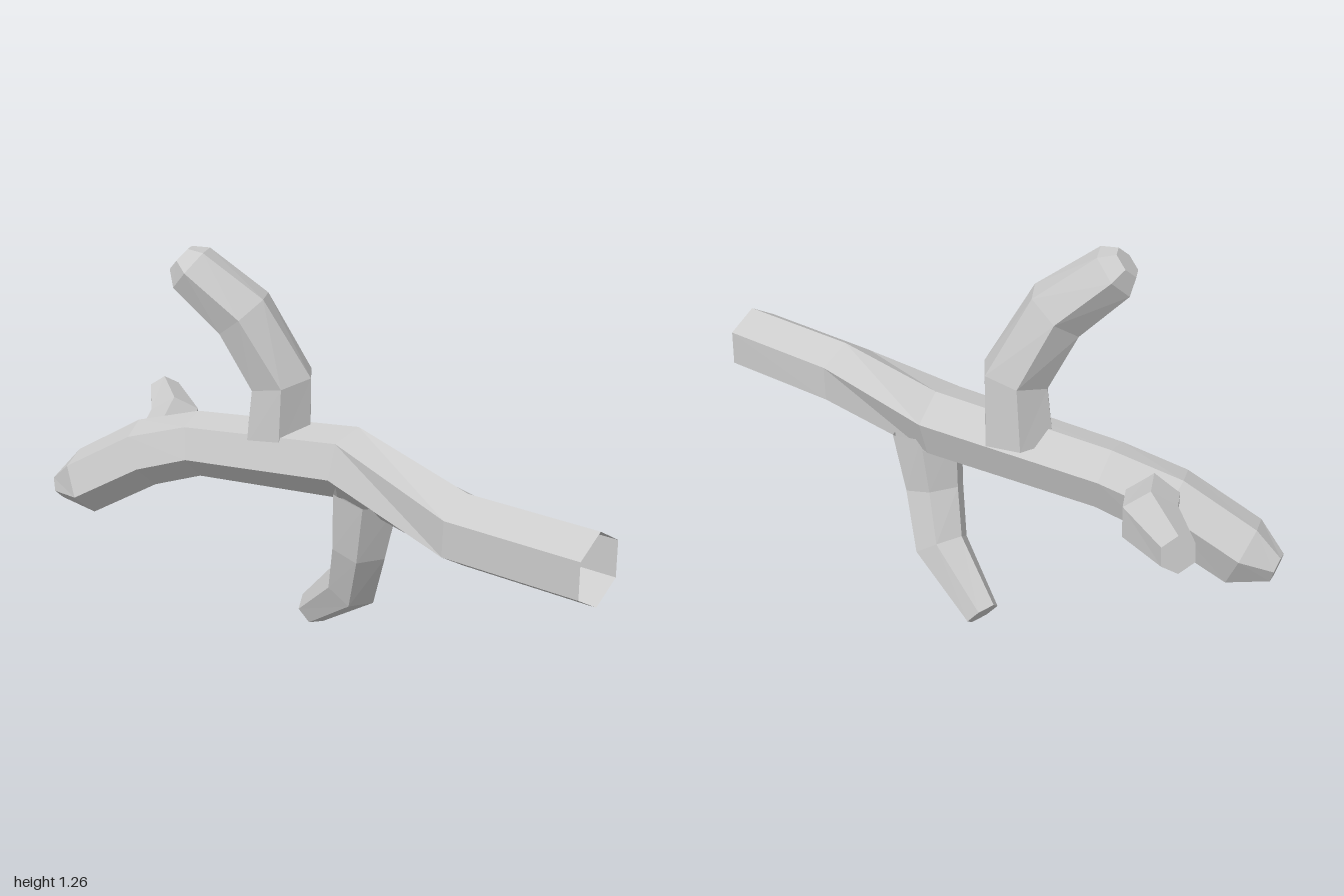
import * as THREE from 'three';

const SIDES = 6;

// Low-poly limb: hexagonal rings [x, y, z, radius] along a path, one corner of each
// ring facing `ref` turned by `turn` degrees (one value per ring or one for all).
// The first end stays open, the last is closed.
function limb(name, rings, ref, turn) {
  const pts = rings.map(([x, y, z]) => new THREE.Vector3(x, y, z));
  const pos = [];
  const index = [];
  pts.forEach((p, i) => {
    // Ring plane follows the mean direction of its neighbouring segments
    const t = new THREE.Vector3();
    if (i > 0) t.add(p.clone().sub(pts[i - 1]).normalize());
    if (i < pts.length - 1) t.add(pts[i + 1].clone().sub(p).normalize());
    t.normalize();
    const u = ref.clone().addScaledVector(t, -ref.dot(t)).normalize();
    const v = new THREE.Vector3().crossVectors(t, u);
    const phase = THREE.MathUtils.degToRad(Array.isArray(turn) ? turn[i] : turn);
    for (let k = 0; k < SIDES; k++) {
      const a = phase + (k / SIDES) * Math.PI * 2;
      const q = p.clone()
        .addScaledVector(u, Math.cos(a) * rings[i][3])
        .addScaledVector(v, Math.sin(a) * rings[i][3]);
      pos.push(q.x, q.y, q.z);
    }
  });
  for (let i = 0; i < rings.length - 1; i++) {
    for (let k = 0; k < SIDES; k++) {
      const a = i * SIDES + k;
      const b = i * SIDES + (k + 1) % SIDES;
      index.push(a, b, b + SIDES, a, b + SIDES, a + SIDES);
    }
  }
  // Flat end cap
  const last = (rings.length - 1) * SIDES;
  for (let k = 1; k < SIDES - 1; k++) index.push(last, last + k, last + k + 1);

  const indexed = new THREE.BufferGeometry();
  indexed.setAttribute('position', new THREE.Float32BufferAttribute(pos, 3));
  indexed.setIndex(index);
  const geometry = indexed.toNonIndexed();
  geometry.computeVertexNormals();
  const mesh = new THREE.Mesh(geometry, new THREE.MeshStandardMaterial({
    color: 0xcccccc, flatShading: true, side: THREE.DoubleSide,
  }));
  mesh.name = name;
  return mesh;
}

export function createModel() {
  const group = new THREE.Group();
  group.name = 'branch';
  const up = new THREE.Vector3(0, 1, 0);
  const front = new THREE.Vector3(0, 0, 1);

  // Main stem: hollow cut end at the front, bending down to a blunt rear tip
  group.add(limb('mainStem', [
    [-0.045, 0.585, 1, 0.113],
    [-0.045, 0.585, 0.56, 0.113],
    [0.068, 0.635, 0.05, 0.114],
    [-0.03, 0.6, -0.5, 0.105],
    [-0.09, 0.545, -0.68, 0.11],
    [-0.175, 0.42, -0.885, 0.108],
    [-0.2, 0.39, -0.985, 0.045],
  ], up, [0, 0, 17, 17, 17, 17, 17]));

  // Tall twig leaning back
  group.add(limb('upperTwig', [
    [0.04, 0.66, -0.22, 0.115],
    [0.04, 0.86, -0.205, 0.108],
    [-0.025, 1.07, -0.3, 0.102],
    [-0.1, 1.205, -0.445, 0.085],
    [-0.115, 1.235, -0.475, 0.05],
  ], front, 10));

  // Twig curving down to the ground
  group.add(limb('lowerTwig', [
    [0.045, 0.57, 0.135, 0.115],
    [0.055, 0.38, 0.1, 0.095],
    [0.1, 0.21, 0.035, 0.088],
    [0.14, 0.052, -0.165, 0.056],
  ], front, 0));

  // Side twig forking off near the rear tip
  group.add(limb('sideTwig', [
    [-0.06, 0.56, -0.64, 0.09],
    [0.1, 0.59, -0.735, 0.09],
    [0.24, 0.622, -0.92, 0.056],
  ], up, 0));

  return group;
}
